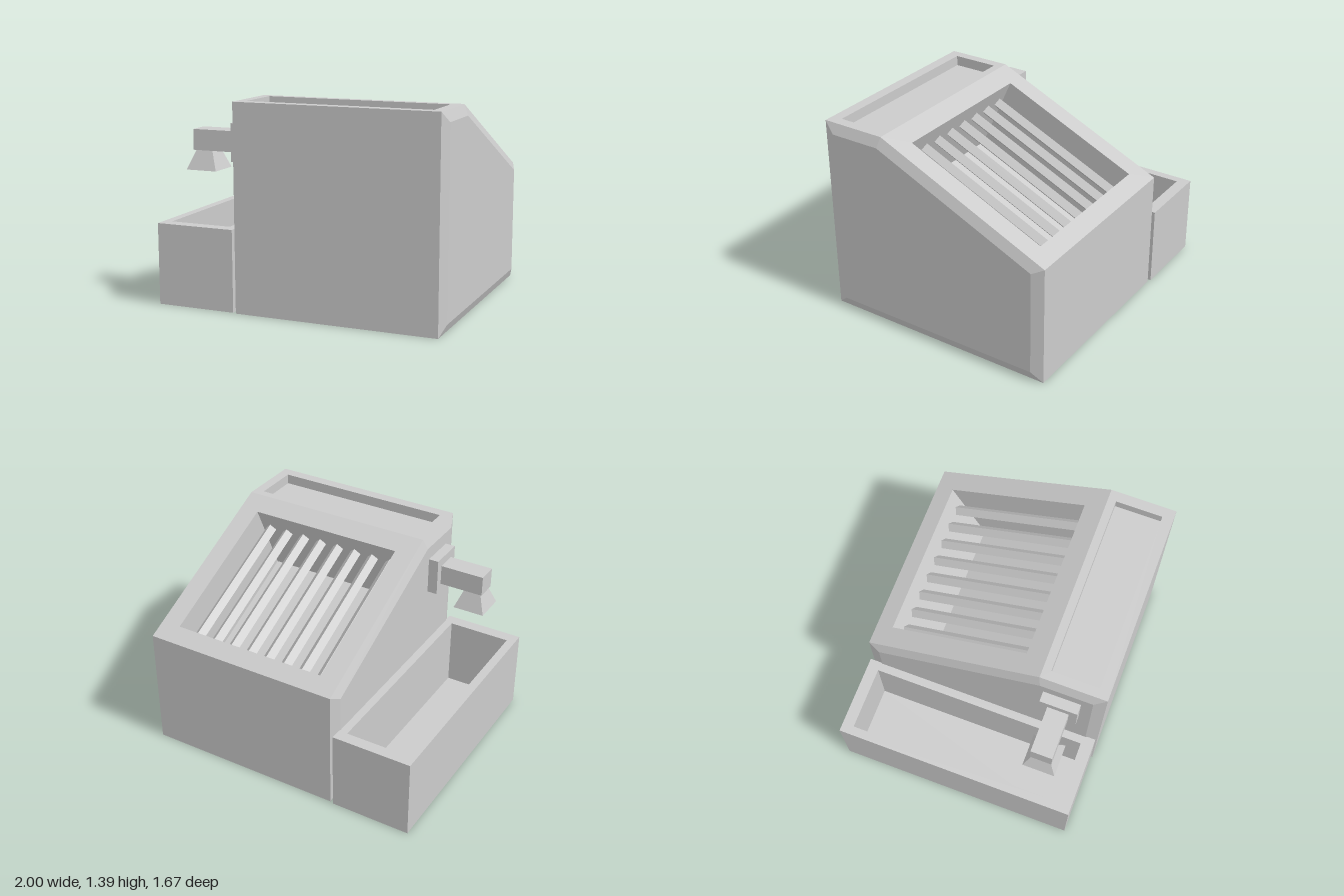
import * as THREE from 'three';

const material = new THREE.MeshStandardMaterial({ color: 0xcccccc, flatShading: true });

// Flat-faced skin through successive loops; loops run counter-clockwise seen from the last one.
function loft(loops, { startCap = false, endCap = true, skip = () => false } = {}) {
  const pos = [];
  const face = (...p) => {
    for (let i = 1; i < p.length - 1; i++) pos.push(...p[0], ...p[i], ...p[i + 1]);
  };
  for (let k = 0; k < loops.length - 1; k++) {
    const a = loops[k], b = loops[k + 1];
    a.forEach((p, i) => {
      const j = (i + 1) % a.length;
      if (!skip(k, i)) face(p, a[j], b[j], b[i]);
    });
  }
  if (startCap) face(...[...loops[0]].reverse());
  if (endCap) face(...loops[loops.length - 1]);
  const geo = new THREE.BufferGeometry();
  geo.setAttribute('position', new THREE.Float32BufferAttribute(pos, 3));
  geo.computeVertexNormals();
  return geo;
}

// Rectangle in x and z, with each corner mapped to a point by place(x, z).
const rect = (x0, x1, z0, z1, place) =>
  [[x0, z1], [x1, z1], [x1, z0], [x0, z0]].map(([x, z]) => place(x, z));
const level = (y) => (x, z) => [x, y, z];

// Sloped face: height over z, with depth measured into the body along the normal.
const SLOPE = (1.39 - 0.84) / (0.385 + 0.83);
const ANGLE = Math.atan(SLOPE);
const onSlope = (depth) => (x, z) => [
  x,
  0.84 + SLOPE * (z + 0.83) - Math.cos(ANGLE) * depth,
  z + Math.sin(ANGLE) * depth,
];

export function createModel() {
  const model = new THREE.Group();
  const add = (name, geometry, parent = model) => {
    const mesh = new THREE.Mesh(geometry, material);
    mesh.name = name;
    parent.add(mesh);
    return mesh;
  };
  const box = (name, x0, x1, y0, y1, z0, z1, parent) =>
    add(name, new THREE.BoxGeometry(x1 - x0, y1 - y0, z1 - z0), parent)
      .position.set((x0 + x1) / 2, (y0 + y1) / 2, (z0 + z1) / 2);

  // Body shell with bevelled sides; slope and top are left open for their panels
  const outline = [[-0.83, 0], [-0.83, 0.84], [0.385, 1.39], [0.835, 1.39], [0.835, 0]];
  const inset = [[-0.75, 0.07], [-0.75, 0.8], [0.4, 1.32], [0.755, 1.32], [0.755, 0.07]];
  const section = (profile, x) => profile.map(([z, y]) => [x, y, z]);
  add('bodyShell', loft(
    [section(inset, -0.45), section(outline, -0.42), section(outline, 0.97), section(inset, 1)],
    { startCap: true, skip: (k, i) => k === 1 && (i === 1 || i === 2) },
  ));

  // Sloped panel with its deep hopper
  add('slopedHopper', loft([
    rect(-0.42, 0.97, -0.83, 0.385, onSlope(0)),
    rect(-0.28, 0.83, -0.71, 0.25, onSlope(0)),
    rect(-0.28, 0.83, -0.71, 0.25, onSlope(0.57)),
  ]));

  // Top panel with a shallow recess
  add('topRecess', loft([
    rect(-0.42, 0.97, 0.385, 0.835, level(1.39)),
    rect(-0.355, 0.9, 0.44, 0.76, level(1.39)),
    rect(-0.355, 0.9, 0.44, 0.76, level(1.32)),
  ]));

  // Diamond-section grate bars spanning the hopper
  const grate = new THREE.Group();
  grate.name = 'grate';
  model.add(grate);
  const barGeometry = new THREE.CylinderGeometry(0.04, 0.04, 0.96 / Math.cos(ANGLE), 4);
  for (let i = 0; i < 8; i++) {
    const bar = add('grateBar', barGeometry, grate);
    bar.position.set(...onSlope(0.155)(-0.216 + i * 0.139, -0.23));
    bar.rotation.x = Math.PI / 2 - ANGLE;
  }

  // Open side trough
  add('sideTrough', loft([
    rect(-1, -0.445, -0.84, 0.825, level(0)),
    rect(-1, -0.445, -0.84, 0.825, level(0.555)),
    rect(-0.94, -0.505, -0.76, 0.74, level(0.555)),
    rect(-0.94, -0.505, -0.76, 0.74, level(0.07)),
  ], { startCap: true }));

  // Spout above the trough
  const spout = new THREE.Group();
  spout.name = 'spout';
  model.add(spout);
  box('spoutMount', -0.52, -0.44, 0.975, 1.23, 0.425, 0.68, spout);
  box('spoutArm', -0.83, -0.52, 1.03, 1.17, 0.48, 0.625, spout);
  const nozzle = add('spoutNozzle',
    new THREE.CylinderGeometry(0.06 * Math.SQRT2, 0.11 * Math.SQRT2, 0.13, 4).rotateY(Math.PI / 4), spout);
  nozzle.position.set(-0.755, 0.965, 0.553);

  return model;
}
